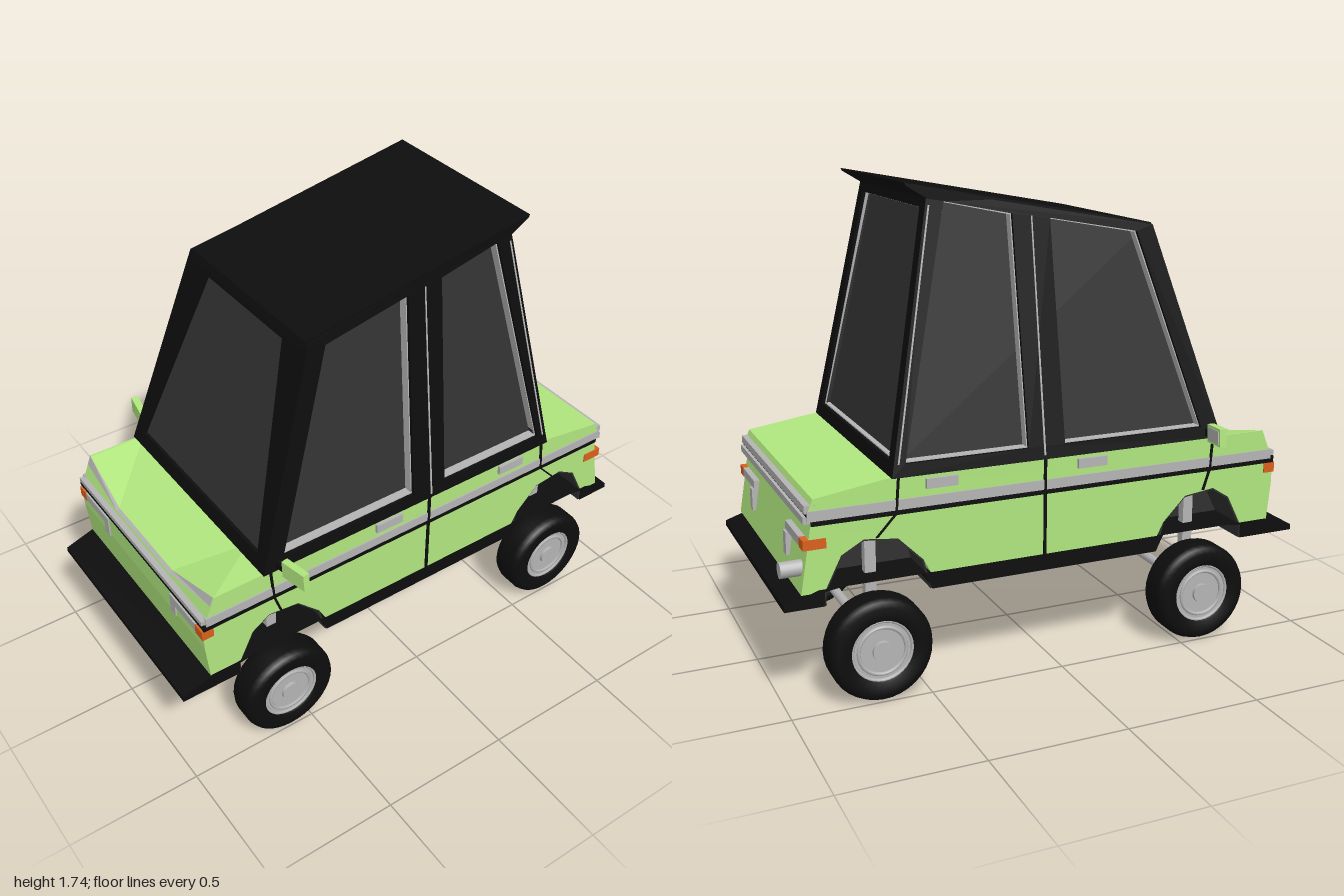
import * as THREE from 'three';

const paint = (color, side = THREE.FrontSide) => new THREE.MeshStandardMaterial({ color, side });
const GREEN = paint(0xb0e67e), BLACK = paint(0x0d0d0d), GLASS = paint(0x323232), ARCH = paint(0x303030);
const SILVER = paint(0xb4b4b4), ORANGE = paint(0xd8601c), FLOOR = paint(0x555555);
const GREEN2 = paint(0xb0e67e, THREE.DoubleSide), SILVER2 = paint(0xb4b4b4, THREE.DoubleSide);

export function createModel() {
  const model = new THREE.Group();

  const add = (name, geo, mat, parent = model) => {
    const m = new THREE.Mesh(geo, mat);
    m.name = name;
    parent.add(m);
    return m;
  };
  // Box from its ranges
  const box = (name, mat, x0, x1, y0, y1, z0, z1, parent) => {
    const m = add(name, new THREE.BoxGeometry(Math.abs(x1 - x0), y1 - y0, Math.abs(z1 - z0)), mat, parent);
    m.position.set((x0 + x1) / 2, (y0 + y1) / 2, (z0 + z1) / 2);
    return m;
  };
  const toShape = (pts, holes = []) => {
    const s = new THREE.Shape(pts.map(p => new THREE.Vector2(...p)));
    for (const h of holes) s.holes.push(new THREE.Path(h.map(p => new THREE.Vector2(...p))));
    return s;
  };
  // (z, y) outline extruded across x
  const extrudeX = (pts, x0, x1, holes) => {
    const g = new THREE.ExtrudeGeometry(toShape(pts, holes), { depth: x1 - x0, bevelEnabled: false });
    return g.rotateY(-Math.PI / 2).translate(x1, 0, 0);
  };
  // (x, y) outline extruded along z
  const extrudeZ = (pts, z0, z1, holes) =>
    new THREE.ExtrudeGeometry(toShape(pts, holes), { depth: z1 - z0, bevelEnabled: false }).translate(0, 0, z0);
  // Lean a panel: shift one axis by a function of height
  const lean = (g, axis, f) => {
    const p = g.attributes.position;
    for (let i = 0; i < p.count; i++) p.setComponent(i, axis, p.getComponent(i, axis) + f(p.getY(i)));
    g.computeVertexNormals();
    return g;
  };
  // Faceted strip between two rows of points
  const strip = (a, b) => {
    const v = [];
    for (let i = 0; i < a.length - 1; i++) v.push(...a[i], ...b[i], ...b[i + 1], ...a[i], ...b[i + 1], ...a[i + 1]);
    const g = new THREE.BufferGeometry();
    g.setAttribute('position', new THREE.Float32BufferAttribute(v, 3));
    g.computeVertexNormals();
    return g;
  };
  const shrink = (pts, d) => {
    const cx = pts.reduce((s, p) => s + p[0], 0) / pts.length, cy = pts.reduce((s, p) => s + p[1], 0) / pts.length;
    return pts.map(([x, y]) => [x - Math.sign(x - cx) * d, y - Math.sign(y - cy) * d]);
  };

  // Lower body with wheel arches
  const frontArch = [[0.40, 0.37], [0.43, 0.48], [0.52, 0.57], [0.64, 0.585], [0.71, 0.54], [0.77, 0.42], [0.77, 0.37]];
  const rearArch = [[-0.86, 0.37], [-0.86, 0.42], [-0.80, 0.54], [-0.72, 0.585], [-0.60, 0.57], [-0.51, 0.48], [-0.48, 0.37]];
  const cut = arch => arch.map(([z, y]) => [z, Math.max(y, 0.42)]);
  add('body', extrudeX([[-0.94, 0.42], ...cut(rearArch), ...cut(frontArch), [0.885, 0.42], [0.90, 0.575], [0.90, 0.66],
    [0.88, 0.71], [0.62, 0.71], [0.62, 0.785], [-0.64, 0.785], [-0.89, 0.748], [-0.91, 0.70], [-0.90, 0.66]], -0.46, 0.46), GREEN);
  add('sillAndBumpers', extrudeX([[-1, 0.37], ...rearArch.map(([z, y]) => [z, Math.min(y, 0.43)]),
    ...frontArch.map(([z, y]) => [z, Math.min(y, 0.43)]), [1, 0.37], [1, 0.39], [0.88, 0.43], [-0.88, 0.43], [-1, 0.39]],
  -0.462, 0.462), BLACK);
  box('floorTunnel', FLOOR, -0.05, 0.05, 0.362, 0.38, -0.9, 0.9);
  for (const [arch, c] of [[frontArch, 0.585], [rearArch, -0.67]]) {
    box('archCore', ARCH, -0.3, 0.3, 0.372, 0.6, c - 0.2, c + 0.2);
    const inner = arch.map(([z, y]) => [c + (z - c) * 0.97, 0.37 + (y - 0.37) * 0.97]).reverse();
    for (const x of [-0.457, 0.297]) add('archLiner', extrudeX([...arch, ...inner], x, x + 0.16), ARCH);
  }

  // Hood with sunken middle
  const hoodBack = [-0.46, -0.3, 0.3, 0.46].map(x => [x, 0.785, 0.62]);
  const hoodFront = [[-0.46, 0.785, 0.85], [-0.2, 0.718, 0.868], [0.2, 0.718, 0.868], [0.46, 0.785, 0.85]];
  const trimLow = hoodFront.map(([x, y]) => [x, y === 0.785 ? 0.75 : 0.71, y === 0.785 ? 0.864 : 0.88]);
  add('hood', strip(hoodBack, hoodFront), GREEN2);
  add('hoodTrim', strip(hoodFront, trimLow), SILVER2);
  add('noseUpper', strip(trimLow, trimLow.map(([x]) => [x, 0.705, 0.882])), GREEN2);
  for (const x of [-0.46, 0.455])
    add('hoodSide', extrudeX([[0.61, 0.70], [0.882, 0.705], [0.85, 0.785], [0.61, 0.785]], x, x + 0.005), GREEN);

  // Belt trim all round
  box('frontTrim', SILVER, -0.46, 0.46, 0.683, 0.702, 0.87, 0.905);
  box('frontTrimLine', BLACK, -0.462, 0.462, 0.668, 0.68, 0.87, 0.904);
  box('rearTrimUpper', SILVER, -0.46, 0.46, 0.70, 0.728, -0.92, -0.88);
  box('rearTrimLower', SILVER, -0.46, 0.46, 0.665, 0.69, -0.925, -0.88);
  box('rearTrimLine', BLACK, -0.461, 0.461, 0.69, 0.70, -0.914, -0.88);

  // Cabin leans
  const sideX = y => 0.47 - (y - 0.785) * 0.123;
  const frontZ = y => 0.66 - (y - 0.785) * 0.331;
  const rearZ = y => -0.62 + (y - 0.785) * 0.193;
  const sideOutline = [[-0.62, 0.785], [0.66, 0.785], [0.40, 1.57], [-0.44, 1.72]];
  const sideWindows = [[[0.575, 0.83], [0.335, 1.55], [0.0, 1.61], [0.02, 0.83]],
    [[-0.12, 0.83], [-0.14, 1.63], [-0.385, 1.68], [-0.57, 0.83]]];

  for (const s of [-1, 1]) {
    const side = new THREE.Group();
    side.name = s > 0 ? 'leftSide' : 'rightSide';
    model.add(side);
    // Layer between two depths, measured outwards from the leaning wall
    const layer = (name, mat, pts, d0, d1, holes) =>
      add(name, lean(extrudeX(pts, Math.min(s * d0, s * d1), Math.max(s * d0, s * d1), holes), 0, y => s * sideX(y)), mat, side);
    layer('sideFrame', BLACK, sideOutline, -0.012, 0, sideWindows);
    const inset = shrink(sideOutline, 0.02);
    layer('sideWindowReveal', SILVER, inset, -0.045, -0.012, sideWindows.map(w => shrink(w, 0.004)));
    layer('sideGlass', GLASS, inset, -0.06, -0.045);
    layer('doorPillarGap', SILVER, [[-0.062, 0.8], [-0.055, 0.8], [-0.067, 1.62], [-0.072, 1.62]], 0, 0.002);
    layer('rearPillarGap', SILVER, [[-0.598, 0.83], [-0.592, 0.83], [-0.435, 1.67], [-0.441, 1.67]], 0, 0.002);

    box('sideTrim', SILVER, s * 0.45, s * 0.465, 0.672, 0.708, -0.912, 0.888, side);
    box('sideTrimLine', BLACK, s * 0.45, s * 0.466, 0.656, 0.671, -0.9, 0.9, side);
    box('doorGap', BLACK, s * 0.45, s * 0.467, 0.42, 0.79, -0.06, -0.05, side);
    for (const [a, b, c] of [[0.625, 0.615, 0.59], [-0.6, -0.61, -0.68]]) {
      const e = [[a, 0.785], [b, 0.66], [c, 0.585]];
      const line = [...e, ...e.map(([z, y]) => [z + 0.008, y]).reverse()];
      add('doorEdge', extrudeX(line, s > 0 ? 0.455 : -0.467, s > 0 ? 0.467 : -0.455), BLACK, side);
    }
    for (const z of [0.128, -0.442]) box('doorHandle', SILVER, s * 0.45, s * 0.472, 0.735, 0.77, z - 0.057, z + 0.057, side);

    // Lamps front and rear
    box('frontIndicator', ORANGE, s * 0.415, s * 0.464, 0.617, 0.656, 0.862, 0.907, side);
    box('frontLamp', SILVER, s * 0.235, s * 0.415, 0.62, 0.656, 0.87, 0.906, side);
    box('frontLampDrop', SILVER, s * 0.235, s * 0.27, 0.572, 0.62, 0.87, 0.906, side);
    box('rearIndicator', ORANGE, s * 0.415, s * 0.464, 0.575, 0.61, -0.93, -0.85, side);
    box('rearLamp', SILVER, s * 0.235, s * 0.415, 0.578, 0.61, -0.93, -0.88, side);
    box('rearLampDrop', SILVER, s * 0.235, s * 0.27, 0.495, 0.578, -0.939, -0.88, side);

    // Door mirror
    const mirror = new THREE.Group();
    mirror.name = 'mirror';
    mirror.position.set(s * 0.555, 0.82, 0.585);
    mirror.rotation.set(0, s * 0.15, s * 0.07);
    side.add(mirror);
    box('mirrorShell', GREEN, -0.055, 0.055, -0.033, 0.033, -0.012, 0.014, mirror);
    box('mirrorGlass', SILVER, -0.045, 0.045, -0.024, 0.024, -0.015, -0.01, mirror);
    box('mirrorArm', BLACK, -s * 0.11, -s * 0.05, -0.018, 0.008, -0.008, 0.01, mirror);
  }

  // Windscreen and rear window
  const trapezoid = (a, y0, b, y1) => [[-a, y0], [a, y0], [b, y1], [-b, y1]];
  const screen = trapezoid(0.468, 0.785, 0.37, 1.57), screenHole = trapezoid(0.405, 0.835, 0.24, 1.53);
  add('windscreenFrame', lean(extrudeZ(screen, -0.025, 0, [screenHole]), 2, frontZ), BLACK);
  add('windscreen', lean(extrudeZ(shrink(screen, 0.02), -0.04, -0.012), 2, frontZ), GLASS);
  const back = trapezoid(0.468, 0.785, 0.356, 1.715), backHole = trapezoid(0.41, 0.835, 0.31, 1.66);
  add('rearWindowFrame', lean(extrudeZ(back, 0, 0.012, [backHole]), 2, rearZ), BLACK);
  add('rearWindowReveal', lean(extrudeZ(shrink(back, 0.02), 0.012, 0.03, [shrink(backHole, 0.004)]), 2, rearZ), SILVER);
  add('rearWindow', lean(extrudeZ(shrink(back, 0.02), 0.03, 0.045), 2, rearZ), GLASS);

  // Roof with rear lip
  add('roof', extrudeX([[0.41, 1.55], [0.40, 1.576], [-0.52, 1.745], [-0.515, 1.735], [-0.44, 1.69]], -0.36, 0.36), BLACK);

  // Exhaust
  const pipe = add('exhaust', new THREE.CylinderGeometry(0.028, 0.028, 0.1, 16), SILVER);
  pipe.rotation.x = Math.PI / 2;
  pipe.position.set(-0.41, 0.5, -0.95);

  // Wheels, legs and axles
  const tyre = new THREE.LatheGeometry([[0.105, -0.05], [0.115, -0.063], [0.16, -0.066], [0.178, -0.056], [0.186, -0.035],
    [0.186, 0.035], [0.178, 0.056], [0.16, 0.066], [0.115, 0.063], [0.105, 0.05]].map(p => new THREE.Vector2(...p)), 36);
  for (const z of [0.585, -0.675]) {
    const axle = add('axle', new THREE.CylinderGeometry(0.018, 0.018, 0.78, 12), SILVER);
    axle.rotation.z = Math.PI / 2;
    axle.position.set(0, 0.187, z);
    for (const s of [-1, 1]) {
      box('leg', SILVER, s * 0.345, s * 0.378, 0.17, 0.58, z - 0.02, z + 0.02);
      const wheel = new THREE.Group();
      wheel.name = 'wheel';
      wheel.position.set(s * 0.44, 0.187, z);
      wheel.rotation.z = -s * Math.PI / 2;
      model.add(wheel);
      add('tyre', tyre, BLACK, wheel);
      add('rim', new THREE.CylinderGeometry(0.112, 0.112, 0.1, 36), SILVER, wheel);
      add('hubCap', new THREE.CylinderGeometry(0.036, 0.04, 0.125, 20), SILVER, wheel);
      for (const r of [0.108, 0.085]) {
        const ring = add('rimRing', new THREE.TorusGeometry(r, 0.007, 6, 36), SILVER, wheel);
        ring.rotation.x = Math.PI / 2;
        ring.position.y = 0.051;
      }
    }
  }
  return model;
}
